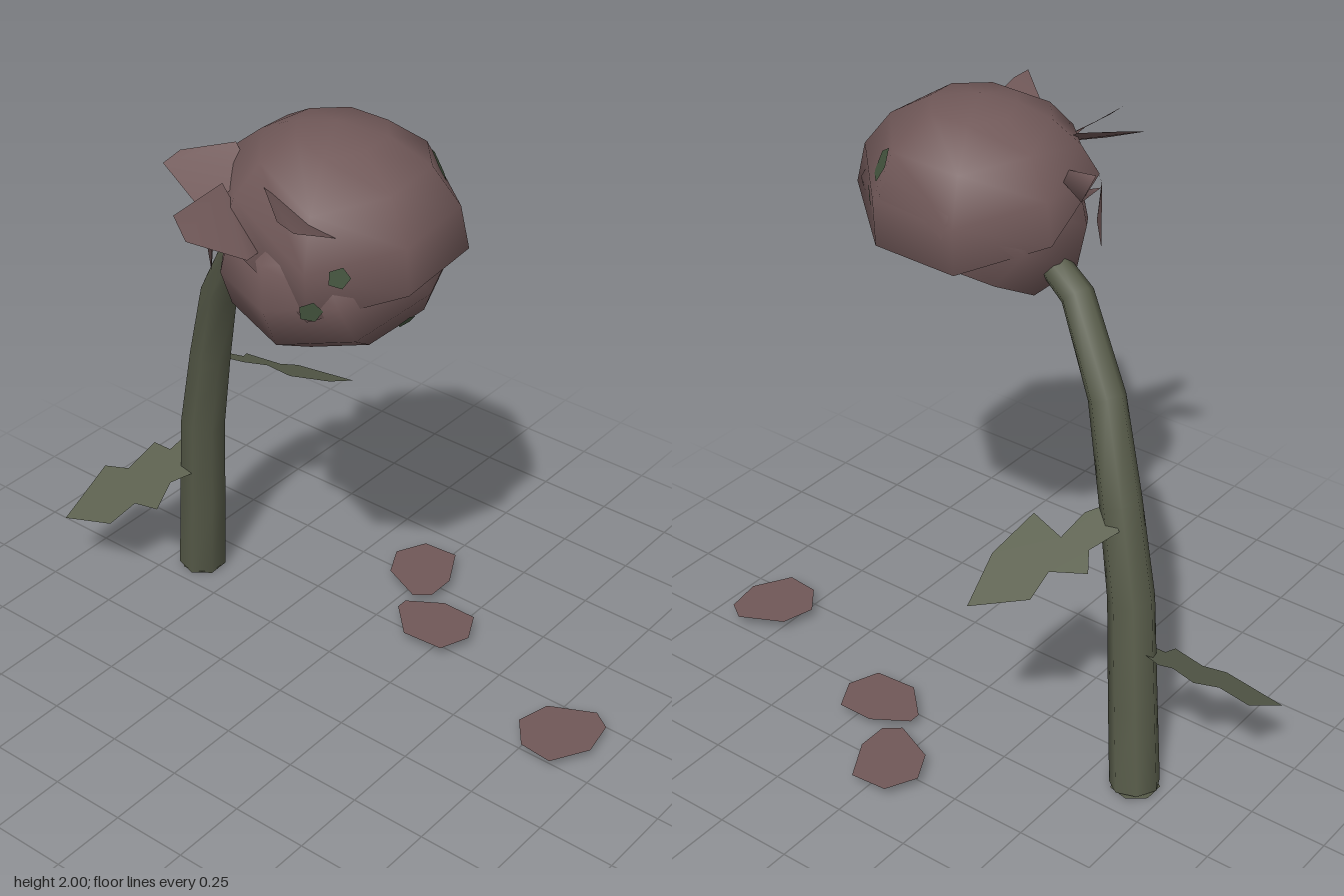
import * as THREE from 'three';

const mat = (name, color) => {
  const m = new THREE.MeshStandardMaterial({ color, side: THREE.DoubleSide });
  m.name = name;
  return m;
};
const V = (x, y, z) => new THREE.Vector3(x, y, z);

// Flat outline given as [x, z] pairs, lifted by a height rule
function plate(outline, height) {
  const shape = new THREE.Shape(outline.map(([x, z]) => new THREE.Vector2(x, -z)));
  const g = new THREE.ShapeGeometry(shape).rotateX(-Math.PI / 2);
  const p = g.attributes.position;
  for (let i = 0; i < p.count; i++) p.setY(i, height(p.getX(i), p.getZ(i)));
  g.computeVertexNormals();
  return g;
}

// Fan of triangles through a few points in space
function fan(points) {
  const g = new THREE.BufferGeometry().setFromPoints(points.map((p) => V(...p)));
  const index = [];
  for (let i = 1; i < points.length - 1; i++) index.push(0, i, i + 1);
  g.setIndex(index);
  g.computeVertexNormals();
  return g;
}

// Tapered tube: rings [x, y, z, radius] set square to the path
function loftStem(rings, sides) {
  const pos = [], index = [];
  const c = rings.map((r) => V(r[0], r[1], r[2]));
  rings.forEach((r, i) => {
    const t = c[Math.min(i + 1, c.length - 1)].clone().sub(c[Math.max(i - 1, 0)]).normalize();
    const u = V(0, 0, 1).cross(t).normalize();
    const w = t.clone().cross(u);
    for (let k = 0; k < sides; k++) {
      const a = (k / sides) * Math.PI * 2;
      const p = c[i].clone().addScaledVector(u, r[3] * Math.cos(a)).addScaledVector(w, r[3] * Math.sin(a));
      pos.push(p.x, Math.max(p.y, 0), p.z);
      if (i < rings.length - 1) {
        const a0 = i * sides + k, a1 = i * sides + (k + 1) % sides;
        index.push(a0, a1, a1 + sides, a0, a1 + sides, a0 + sides);
      }
    }
  });
  const g = new THREE.BufferGeometry();
  g.setAttribute('position', new THREE.Float32BufferAttribute(pos, 3));
  g.setIndex(index);
  g.computeVertexNormals();
  return g;
}

export function createModel() {
  const root = new THREE.Group();
  const petalMat = mat('witheredPetal', 0x705858);
  const stemMat = mat('stemGreen', 0x575b49);
  const leafMat = mat('leafGreen', 0x5c614f);
  const mossMat = mat('mossGreen', 0x465640);
  const add = (name, g, m, parent = root) => {
    const mesh = new THREE.Mesh(g, m);
    mesh.name = name;
    parent.add(mesh);
    return mesh;
  };

  // Bent stem with a closed foot
  add('stem', loftStem([
    [-0.65, 0.01, -0.115, 0.08], [-0.615, 0.3, -0.09, 0.077], [-0.575, 0.64, -0.06, 0.073],
    [-0.505, 0.94, -0.03, 0.066], [-0.405, 1.23, 0.03, 0.058], [-0.25, 1.49, 0.09, 0.052],
    [-0.1, 1.57, 0.13, 0.047]], 7), stemMat);
  const foot = add('stemFoot', new THREE.CircleGeometry(0.078, 7).rotateX(Math.PI / 2), stemMat);
  foot.position.set(-0.65, 0.008, -0.115);

  // Jagged leaves
  add('frontLeaf', plate([[-0.95, 0.23], [-0.76, 0.21], [-0.72, 0.13], [-0.62, 0.13], [-0.64, 0.04],
    [-0.56, -0.02], [-0.63, -0.09], [-0.71, -0.11], [-0.73, -0.06], [-0.81, -0.07], [-0.84, 0.03],
    [-0.94, 0.04]], (x, z) => 0.445 - 0.6 * z + 0.2 * (x + 0.6)), leafMat);
  add('backLeaf', plate([[-0.27, -0.46], [-0.24, -0.3], [-0.28, -0.15], [-0.4, -0.18], [-0.42, -0.09],
    [-0.47, -0.04], [-0.55, -0.1], [-0.5, -0.18], [-0.54, -0.24], [-0.43, -0.28], [-0.43, -0.37]],
  (x, z) => 0.95 + 0.53 * z + 0.04 * (x + 0.4)), leafMat);

  // Petals lying on the ground
  [
    [[-0.08, -0.63], [0.04, -0.64], [0.11, -0.51], [0.11, -0.41], [0.06, -0.37], [-0.08, -0.43], [-0.13, -0.53]],
    [[0.17, -0.4], [0.29, -0.4], [0.34, -0.3], [0.3, -0.2], [0.16, -0.19], [0.06, -0.29], [0.06, -0.33]],
    [[0.87, -0.25], [0.93, -0.21], [0.95, -0.09], [0.88, 0.03], [0.77, 0.02], [0.7, -0.07], [0.73, -0.18]],
  ].forEach((o, i) => add('fallenPetal' + (i + 1), plate(o, () => 0.04), petalMat));

  // Drooping flower head, open towards the ground
  const head = new THREE.Group();
  head.name = 'flowerHead';
  root.add(head);
  const centre = V(0.14, 1.68, 0.14), radii = V(0.38, 0.318, 0.345);

  // Nested cups share a tilted axis
  const cups = new THREE.Group();
  cups.name = 'petalCups';
  cups.position.set(0.14, 1.67, 0.155);
  cups.quaternion.setFromUnitVectors(V(0, 1, 0), V(-0.1, 0.86, 0.46).normalize());
  head.add(cups);
  const cup = (name, profile, sides) => add(name,
    new THREE.LatheGeometry(profile.map(([r, y]) => new THREE.Vector2(r, y)), sides), petalMat, cups);
  const lower = cup('lowerPetals', [[0.265, -0.21], [0.355, -0.085], [0.335, 0.04], [0.26, 0.15], [0, 0.27]], 9);
  cup('middlePetals', [[0.24, -0.17], [0.25, -0.06], [0.2, 0.08], [0, 0.14]], 9);
  const inner = cup('innerPetals', [[0.17, -0.15], [0.18, -0.06], [0.13, 0.03], [0, 0.07]], 9);
  const heart = add('flowerHeart', new THREE.ConeGeometry(0.025, 0.1, 5), mossMat, cups);
  heart.position.y = 0.01;

  // Upper petal layer: an eight-sided dome whose hem (degrees from the crown) rises and dips
  const hem = [98, 114, 82, 70, 92, 108, 106, 92];
  const geometry = new THREE.SphereGeometry(1, 8, 4, Math.PI / 8, Math.PI * 2, 0, Math.PI / 2);
  const pos = geometry.attributes.position, nor = geometry.attributes.normal;
  for (let i = 0; i < pos.count; i++) {
    const a = Math.atan2(pos.getZ(i), pos.getX(i));
    const k = (Math.round(a / (Math.PI / 4) - 0.5) + 8) % 8;
    const down = Math.acos(THREE.MathUtils.clamp(pos.getY(i), -1, 1)) / (Math.PI / 2);
    const t = down * THREE.MathUtils.degToRad(hem[k]);
    const d = V(Math.cos(a) * Math.sin(t), Math.cos(t), Math.sin(a) * Math.sin(t));
    const p = d.clone().multiply(radii).multiplyScalar(1 + 0.02 * down);
    const n = d.divide(radii).normalize();
    pos.setXYZ(i, p.x, p.y, p.z);
    nor.setXYZ(i, n.x, n.y, n.z);
  }
  const dome = add('upperPetals', geometry, petalMat, head);
  dome.position.copy(centre);

  // Loose petals curling off the front
  [
    [[-0.05, 1.85, 0.4], [-0.04, 1.84, 0.61], [0.02, 1.79, 0.63], [0.13, 1.72, 0.51], [0.1, 1.7, 0.42]],
    [[-0.23, 1.87, 0.44], [-0.22, 1.89, 0.38], [-0.12, 1.9, 0.26], [-0.02, 1.83, 0.3], [-0.08, 1.8, 0.47]],
    [[0.07, 1.87, 0.37], [0.27, 1.9, 0.55], [0.31, 1.87, 0.53], [0.33, 1.8, 0.38], [0.2, 1.8, 0.38]],
    [[-0.25, 1.78, 0.1], [-0.23, 1.82, 0.2], [-0.12, 1.85, 0.12], [-0.12, 1.72, 0.25], [-0.18, 1.73, 0.3]],
    [[-0.19, 1.75, 0.29], [-0.2, 1.55, 0.28], [-0.1, 1.56, 0.4], [-0.1, 1.68, 0.42], [-0.05, 1.74, 0.44]],
  ].forEach((p, i) => add('loosePetal' + (i + 1), fan(p), petalMat, head));

  // Mossy blotches, dropped onto the petals along a direction from the centre
  root.updateMatrixWorld(true);
  [
    [0.62, 0.05, 0.75, 0.033], [0.42, -0.27, 0.85, 0.035], [0.5, 0.42, -0.75, 0.055], [0.6, 0.1, -0.75, 0.035],
    [0.75, -0.6, 0.05, 0.03], [0.05, -0.85, -0.2, 0.035],
  ].forEach(([x, y, z, size], i) => {
    const inward = V(-x, -y, -z).normalize();
    const ray = new THREE.Raycaster(centre.clone().sub(inward), inward);
    const hit = ray.intersectObjects([dome, lower, inner])[0];
    const n = hit.face.normal.clone().transformDirection(hit.object.matrixWorld);
    if (n.dot(inward) > 0) n.negate();
    const spot = add('mossSpot' + (i + 1), new THREE.CircleGeometry(size, 5), mossMat, head);
    spot.position.copy(hit.point).addScaledVector(n, 0.004);
    spot.quaternion.setFromUnitVectors(V(0, 0, 1), n);
  });

  return root;
}
